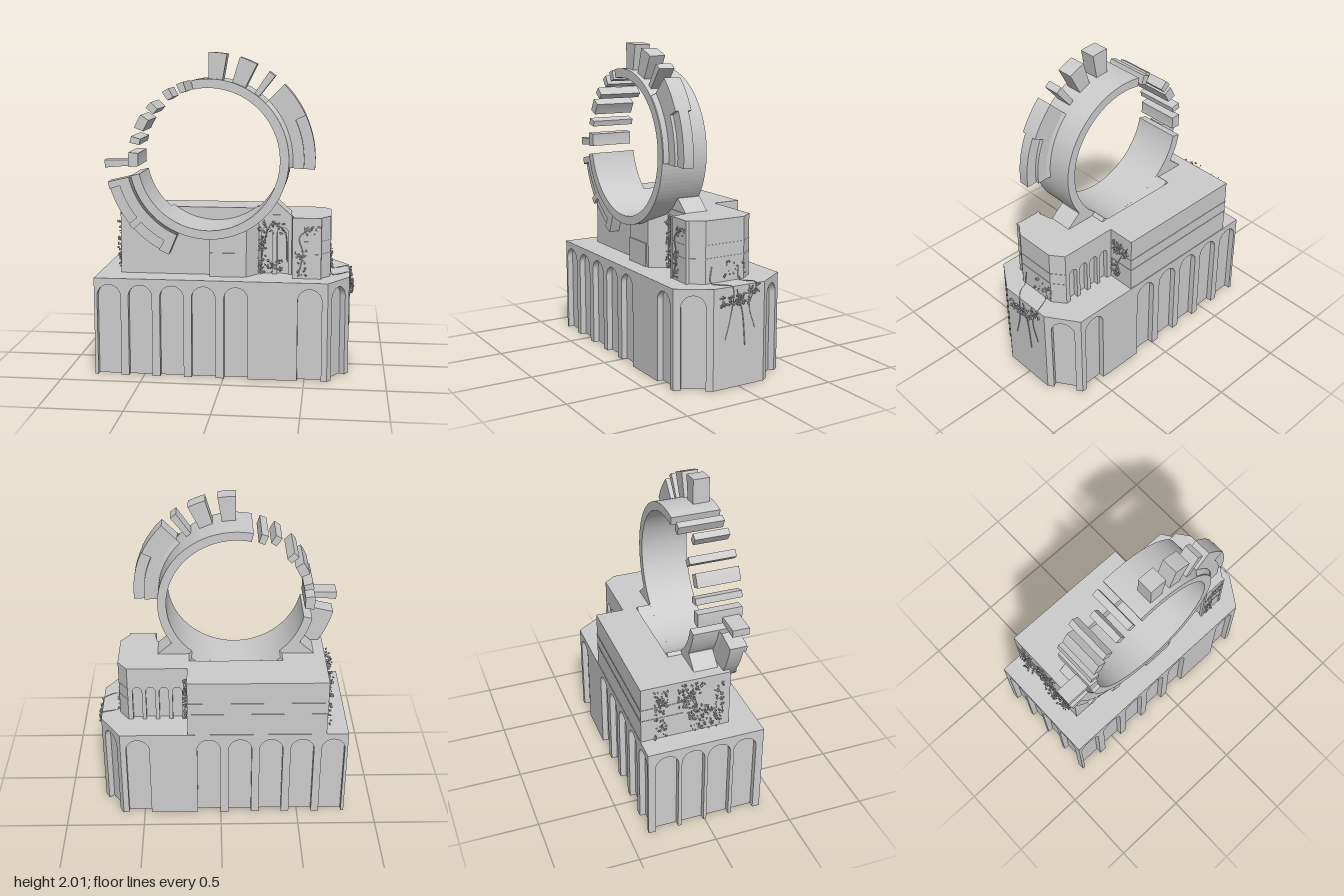
import * as THREE from 'three';
import { mergeGeometries } from 'three/addons/utils/BufferGeometryUtils.js';

const grey = new THREE.MeshStandardMaterial({ color: 0xcccccc, flatShading: true, side: THREE.DoubleSide });
const CX = -0.1, CY = 1.355; // ring centre
const rad = THREE.MathUtils.degToRad;

let seed = 7;
const rnd = () => (seed = (seed * 16807) % 2147483647) / 2147483647;

function add(group, name, geometry) {
  const mesh = new THREE.Mesh(geometry, grey);
  mesh.name = name;
  group.add(mesh);
}

const shapeOf = pts => new THREE.Shape(pts.map(p => new THREE.Vector2(p[0], p[1])));

// front profile (x, y) extruded from z0 to z1
function prism(shape, z0, z1) {
  const g = new THREE.ExtrudeGeometry(shape, { depth: z1 - z0, bevelEnabled: false, curveSegments: 40 });
  return g.translate(0, 0, z0);
}

// footprint (x, z) raised from y0 to y1
function plan(pts, y0, y1) {
  const g = new THREE.ExtrudeGeometry(shapeOf(pts.map(([x, z]) => [x, -z])), { depth: y1 - y0, bevelEnabled: false });
  return g.rotateX(-Math.PI / 2).translate(0, y0, 0);
}

// piece of a ring between two angles (degrees) and two radii
function arc(a0, a1, r0, r1, z0, z1) {
  const s = new THREE.Shape();
  s.absarc(CX, CY, r1, rad(a0), rad(a1), false);
  s.absarc(CX, CY, r0, rad(a1), rad(a0), true);
  return prism(s, z0, z1);
}

// sloping collar between two angles, from a profile of radius and z
function collar(a0, a1, profile) {
  const pts = profile.map(p => new THREE.Vector2(p[0], p[1]));
  const g = new THREE.LatheGeometry(pts, 40, rad(a0 + 90), rad(a1 - a0));
  return g.rotateX(Math.PI / 2).translate(CX, CY, 0);
}

// wall panel from a to b (seen from outside, left to right) with arched notches
function wall(a, b, y0, h, centres, w, top, depth, inset = 0) {
  const dx = b[0] - a[0], dz = b[1] - a[1], len = Math.hypot(dx, dz), r = w / 2;
  const s = new THREE.Shape();
  s.moveTo(0, 0);
  for (const c of centres) {
    s.lineTo(c - r, 0);
    s.lineTo(c - r, top - r);
    s.absarc(c, top - r, r, Math.PI, 0, true);
    s.lineTo(c + r, 0);
  }
  s.lineTo(len, 0);
  s.lineTo(len, h);
  s.lineTo(0, h);
  const g = new THREE.ExtrudeGeometry(s, { depth, bevelEnabled: false, curveSegments: 12 });
  return g.translate(0, 0, -depth - inset).rotateY(-Math.atan2(dz, dx)).translate(a[0], y0, a[1]);
}

// block whose top is hollowed by the ring
function hollowed(x0, x1) {
  const pts = [[x0, 0.62]];
  for (let i = 0; i <= 48; i++) {
    const x = x0 + (x1 - x0) * i / 48, d = x - CX;
    const y = Math.abs(d) < 0.46 ? CY - Math.sqrt(0.46 ** 2 - d * d) : 1;
    pts.push([x, Math.min(1, y)]);
  }
  pts.push([x1, 0.62]);
  return shapeOf(pts);
}

// cloud of small leaves filling a box
function leaves([x, y, z, sx, sy, sz, n]) {
  const list = [];
  for (let i = 0; i < n; i++) {
    const g = new THREE.OctahedronGeometry(0.005 + rnd() * 0.008, 0);
    g.scale(1, 0.6, 1).rotateX(rnd() * 3).rotateZ(rnd() * 3);
    list.push(g.translate(x + (rnd() - 0.5) * sx, y + (rnd() - 0.5) * sy, z + (rnd() - 0.5) * sz));
  }
  return mergeGeometries(list);
}

// hollow base, open underneath: arcaded panels with thin backings and a roof
function buildBase(g) {
  const d = 0.04;
  const F = [-0.81, 0.375], A = [0.64, 0.375], B = [0.77, 0.18], S = [-0.81, 0.375 - d];
  const flip = p => [p[0], -p[1]];
  const bays = [-0.717, -0.52, -0.322, -0.124, 0.077, 0.53];
  const panel = (name, a, b, c) => {
    add(g, name, wall(a, b, 0, 0.615, c, 0.148, 0.58, d));
    add(g, name + 'Backing', wall(a, b, 0, 0.615, [], 0, 0, 0.004, d - 0.002));
  };
  panel('frontArcade', F, A, bays.map(x => x + 0.81));
  panel('frontCornerWall', A, B, [0.117]);
  add(g, 'endWall', wall(B, flip(B), 0, 0.615, [], 0, 0, 0.01));
  panel('backCornerWall', flip(B), flip(A), [0.117]);
  panel('backArcade', flip(A), flip(F), bays.map(x => 0.64 - x).reverse());
  panel('sideArcade', flip(S), S, [0.081, 0.251, 0.419, 0.589]);
  add(g, 'baseRoof', plan([F, A, B, flip(B), flip(A), flip(F)], 0.61, 0.62));
}

function buildHall(g) {
  const back = e => [[-0.67 - e, -0.371 - e], [0.21 + e, -0.371 - e], [0.21 + e, -0.1], [-0.67 - e, -0.1]];
  add(g, 'hallBack', plan(back(0), 0.62, 1));
  add(g, 'hallMiddle', prism(hollowed(-0.67, 0.2), -0.1, 0.12));
  add(g, 'hallFront', prism(hollowed(-0.67, 0.13), 0.12, 0.2));
  add(g, 'pier', prism(hollowed(-0.1, 0.13), 0.2, 0.25));
  add(g, 'pierFoot', new THREE.BoxGeometry(0.21, 0.15, 0.02).translate(0.005, 0.695, 0.248));
  add(g, 'pierFlank', plan([[0.13, 0.25], [0.2, 0.15], [0.2, 0.12], [0.13, 0.12]], 0.62, 0.98));
  // tower with a bay recessed at the front and a colonnade at the back
  add(g, 'tower', plan([[0.2, -0.16], [0.58, -0.16], [0.65, -0.11], [0.65, 0.16], [0.58, 0.256],
    [0.43, 0.256], [0.4, 0.12], [0.2, 0.12]], 0.62, 1));
  add(g, 'frontBay', wall([0.19, 0.15], [0.41, 0.15], 0.62, 0.38, [0.06, 0.16], 0.07, 0.3, 0.03));
  add(g, 'backColonnade', wall([0.59, -0.19], [0.2, -0.19], 0.62, 0.38, [0.06, 0.145, 0.23, 0.315], 0.06, 0.24, 0.032));
  add(g, 'towerBackCorner', plan([[0.56, -0.19], [0.59, -0.19], [0.65, -0.11], [0.58, -0.11]], 0.62, 1));
  for (const x of [0.425, 0.585]) add(g, 'towerPilaster', new THREE.BoxGeometry(0.018, 0.38, 0.02).translate(x, 0.81, 0.25));
  // string courses
  for (const y of [0.77, 0.85]) {
    add(g, 'stringCourse', plan(back(0.003), y - 0.004, y + 0.004));
    add(g, 'towerCourse', plan([[0.5, -0.1], [0.59, -0.193], [0.653, -0.11], [0.653, 0.161], [0.582, 0.259], [0.43, 0.259]], y - 0.004, y + 0.004));
  }
}

function buildRing(g) {
  add(g, 'mainRing', arc(-168, 102, 0.437, 0.492, -0.01, 0.3));
  add(g, 'ringTrough', arc(-130, -50, 0.437, 0.492, -0.1, -0.01));
  // cradle wedges either side
  for (const s of [-1, 1]) {
    const pts = [[0.33, 0.98], [0.5, 0.98], [0.5, 1], [0.412, 1.078], [0.39, 1.078]];
    add(g, 'cradleWedge', prism(shapeOf(pts.map(([x, y]) => [CX + s * x, y])), -0.01, 0.145));
  }
  // broken inner pieces: centre angle, half span, back z
  for (const [a, h, z] of [[110.5, 2.6, 0], [122, 2.6, 0.07], [138, 2.6, 0], [152, 5, 0.02], [166, 2.4, 0], [180.5, 5.2, 0.01]])
    add(g, 'brokenPiece', arc(a - h, a + h, 0.437, 0.497, z, 0.29));
  // outer teeth
  for (const [a, b] of [[51.5, 55.5], [63, 73], [80, 90], [180.8, 185]])
    add(g, 'outerTooth', arc(a, b, 0.485, 0.65, 0.165, 0.27));
  // long outer rims: sloping collar, inner rail, thin outer plates and full-width blocks
  const rims = [
    { span: [-5, 45], plates: [[-5, 25]], blocks: [[25, 45]], plateBack: 0.182 },
    { span: [193, 247], plates: [[197, 219], [223, 241]], blocks: [[193, 197], [219, 223], [241, 247]], plateBack: 0.16 },
  ];
  for (const { span: [a0, a1], plates, blocks, plateBack } of rims) {
    add(g, 'rimCollar', collar(a0, a1, [[0.485, 0.15], [0.517, 0.16], [0.517, 0.262], [0.488, 0.298]]));
    add(g, 'rimRail', arc(a0, a1, 0.515, 0.583, 0.16, 0.27));
    for (const [a, b] of plates) add(g, 'rimPlate', arc(a, b, 0.58, 0.65, plateBack, 0.25));
    for (const [a, b] of blocks) add(g, 'rimBlock', arc(a, b, 0.58, 0.65, 0.16, 0.27));
  }
}

function buildIvy(g) {
  // centre, size and leaf count of each clump
  const clumps = [
    [-0.688, 0.81, -0.25, 0.035, 0.34, 0.08, 70], [-0.688, 0.9, -0.06, 0.04, 0.18, 0.16, 80],
    [-0.688, 0.73, 0.02, 0.04, 0.18, 0.18, 80], [-0.688, 0.8, 0.12, 0.03, 0.3, 0.06, 40],
    [0.222, 0.9, -0.28, 0.025, 0.08, 0.13, 40], [0.222, 0.72, -0.24, 0.025, 0.12, 0.07, 30],
    [0.22, 0.8, 0.155, 0.05, 0.34, 0.02, 50], [0.3, 0.67, 0.155, 0.1, 0.08, 0.02, 40],
    [0.3, 0.92, 0.155, 0.14, 0.08, 0.02, 30], [0.47, 0.72, 0.26, 0.06, 0.16, 0.01, 25],
    [0.54, 0.93, 0.26, 0.1, 0.06, 0.01, 15], [0.655, 0.69, -0.04, 0.015, 0.12, 0.16, 20],
    [0.782, 0.54, 0.04, 0.025, 0.06, 0.2, 60], [0.78, 0.59, -0.1, 0.025, 0.06, 0.07, 20],
  ];
  for (const c of clumps) add(g, 'ivyLeaves', leaves(c));
  const stems = [
    [[0.652, 0.72, 0.12], [0.66, 0.625, 0.13], [0.72, 0.625, 0.1], [0.772, 0.62, 0.05], [0.773, 0.45, 0.06], [0.773, 0.3, 0.1]],
    [[0.652, 0.7, -0.07], [0.66, 0.625, -0.07], [0.772, 0.622, -0.12], [0.773, 0.5, -0.07], [0.773, 0.35, -0.11]],
    [[0.773, 0.6, 0.02], [0.773, 0.45, -0.02], [0.773, 0.25, -0.04]],
    [[0.21, 0.64, 0.153], [0.23, 0.8, 0.153], [0.28, 0.94, 0.153], [0.36, 0.9, 0.153], [0.38, 0.7, 0.153]],
    [[0.45, 0.63, 0.258], [0.48, 0.78, 0.258], [0.46, 0.88, 0.258], [0.55, 0.95, 0.258]],
    [[0.212, 0.65, -0.22], [0.212, 0.8, -0.27], [0.212, 0.93, -0.34]],
    [[-0.673, 0.64, 0.05], [-0.673, 0.8, -0.02], [-0.673, 0.97, -0.1]],
  ];
  for (const s of stems) {
    const curve = new THREE.CatmullRomCurve3(s.map(p => new THREE.Vector3(...p)));
    add(g, 'ivyStem', new THREE.TubeGeometry(curve, 30, 0.0025, 5));
  }
}

export function createModel() {
  const model = new THREE.Group();
  const parts = { arcadedBase: buildBase, upperHall: buildHall, brokenRing: buildRing, ivy: buildIvy };
  for (const [name, build] of Object.entries(parts)) {
    const group = new THREE.Group();
    group.name = name;
    build(group);
    model.add(group);
  }
  return model;
}
